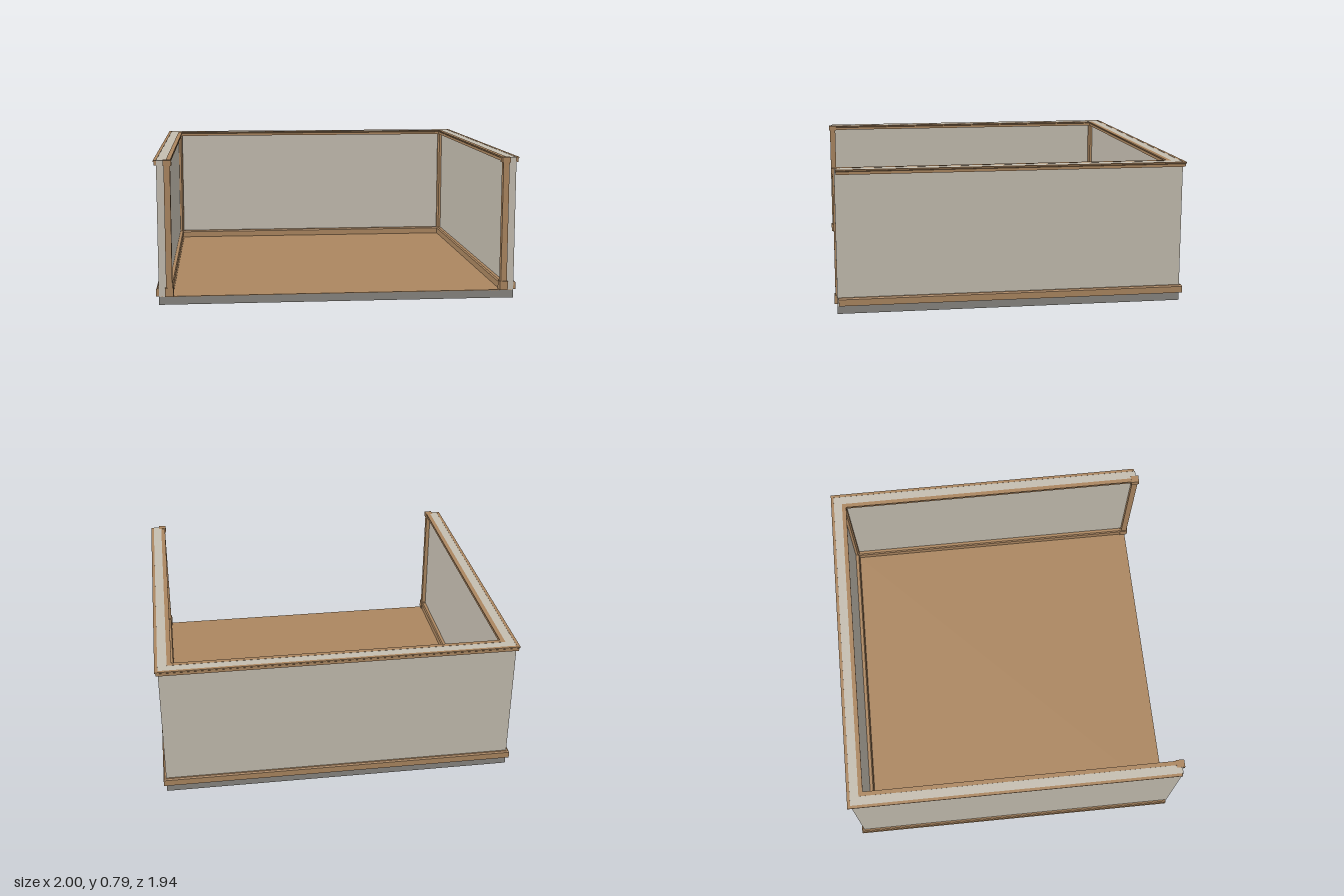
import * as THREE from 'three';

// Outer half width, back and front of the walls
const HALF_X = 0.983, BACK = -0.956, FRONT = 0.953;
const FLOOR = 0.046, TOP = 0.79;

// Sweeps a closed counter-clockwise profile of [outward offset, height]
// round the two sides and the back, with mitred corners and end caps
function sweepU(profile, front) {
  const ring = ([o, y]) => {
    const x = HALF_X + o, z = BACK - o;
    return [[-x, y, front], [-x, y, z], [x, y, z], [x, y, front]];
  };
  const rings = profile.map(ring);
  const pos = [];
  const tri = (a, b, c) => pos.push(...a, ...b, ...c);
  for (let i = 0; i < rings.length; i++) {
    const p = rings[i], q = rings[(i + 1) % rings.length];
    for (let k = 0; k < 3; k++) {
      tri(p[k], q[k], q[k + 1]);
      tri(p[k], q[k + 1], p[k + 1]);
    }
  }
  const flat = profile.map(([o, y]) => new THREE.Vector2(o, y));
  for (const [a, b, c] of THREE.ShapeUtils.triangulateShape(flat, [])) {
    tri(rings[a][0], rings[c][0], rings[b][0]);
    tri(rings[a][3], rings[b][3], rings[c][3]);
  }
  const g = new THREE.BufferGeometry();
  g.setAttribute('position', new THREE.Float32BufferAttribute(pos, 3));
  g.computeVertexNormals();
  return g;
}

// Box given by its limits
function boxBetween(x0, x1, y0, y1, z0, z1) {
  return new THREE.BoxGeometry(x1 - x0, y1 - y0, z1 - z0)
    .translate((x0 + x1) / 2, (y0 + y1) / 2, (z0 + z1) / 2);
}

export function createModel() {
  const model = new THREE.Group();
  model.name = 'openRoom';

  const material = (name, color) => {
    const m = new THREE.MeshStandardMaterial({ color });
    m.name = name;
    return m;
  };
  const plaster = material('plaster', 0xc4bdb0);
  const wood = material('wood', 0xab8660);
  const stone = material('stone', 0x888580);

  const add = (name, geometry, mat) => {
    const mesh = new THREE.Mesh(geometry, mat);
    mesh.name = name;
    model.add(mesh);
  };

  // Slab and thin wooden floor
  add('foundation', boxBetween(-HALF_X, HALF_X, 0, 0.043, BACK, FRONT), stone);
  add('floor', boxBetween(-HALF_X + 0.01, HALF_X - 0.01, 0.042, FLOOR, BACK + 0.01, FRONT), wood);

  // Two side walls and the back wall
  add('walls', sweepU([[-0.05, 0.043], [0, 0.043], [0, TOP - 0.001], [-0.05, TOP - 0.001]], FRONT), plaster);

  // Skirting and top mouldings, outside and inside
  const trimFront = 0.946;
  add('outerSkirting', sweepU([
    [0, 0.046], [0.015, 0.046], [0.015, 0.082], [0.009, 0.09], [0, 0.09],
  ], trimFront), wood);
  add('innerSkirting', sweepU([
    [-0.05, 0.09], [-0.069, 0.09], [-0.075, 0.082], [-0.075, 0.046], [-0.05, 0.046],
  ], trimFront), wood);
  add('outerTopTrim', sweepU([
    [0, 0.763], [0.012, 0.763], [0.012, 0.779], [0.017, 0.783], [0.017, TOP], [0, TOP],
  ], trimFront), wood);
  add('innerTopTrim', sweepU([
    [-0.05, TOP], [-0.075, TOP], [-0.075, 0.783], [-0.07, 0.779], [-0.07, 0.763], [-0.05, 0.763],
  ], trimFront), wood);

  for (const side of [1, -1]) {
    const label = side > 0 ? 'left' : 'right';
    const box = (x0, x1, ...rest) =>
      side > 0 ? boxBetween(x0, x1, ...rest) : boxBetween(-x1, -x0, ...rest);
    // Front post with a block at its foot and head
    add(label + 'FrontPost', box(0.909, 0.943, 0.09, 0.77, 0.926, 0.962), wood);
    add(label + 'FootBlock', box(0.903, 0.948, 0.046, 0.095, 0.92, 0.968), wood);
    add(label + 'HeadBlock', box(0.903, 0.948, 0.761, TOP + 0.001, 0.92, 0.968), wood);
    // Post in the inner back corner, with a chamfered edge
    const x = HALF_X - 0.05, z = -(BACK + 0.05), s = 0.025;
    const corner = new THREE.Shape([
      [x, z], [x - s, z], [x - s, z - s * 0.6], [x - s * 0.6, z - s], [x, z - s],
    ].map(([a, b]) => new THREE.Vector2(side * a, b)));
    const post = new THREE.ExtrudeGeometry(corner, { depth: TOP - FLOOR - 0.002, bevelEnabled: false })
      .rotateX(-Math.PI / 2).translate(0, FLOOR, 0);
    add(label + 'BackPost', post, wood);
  }
  return model;
}
